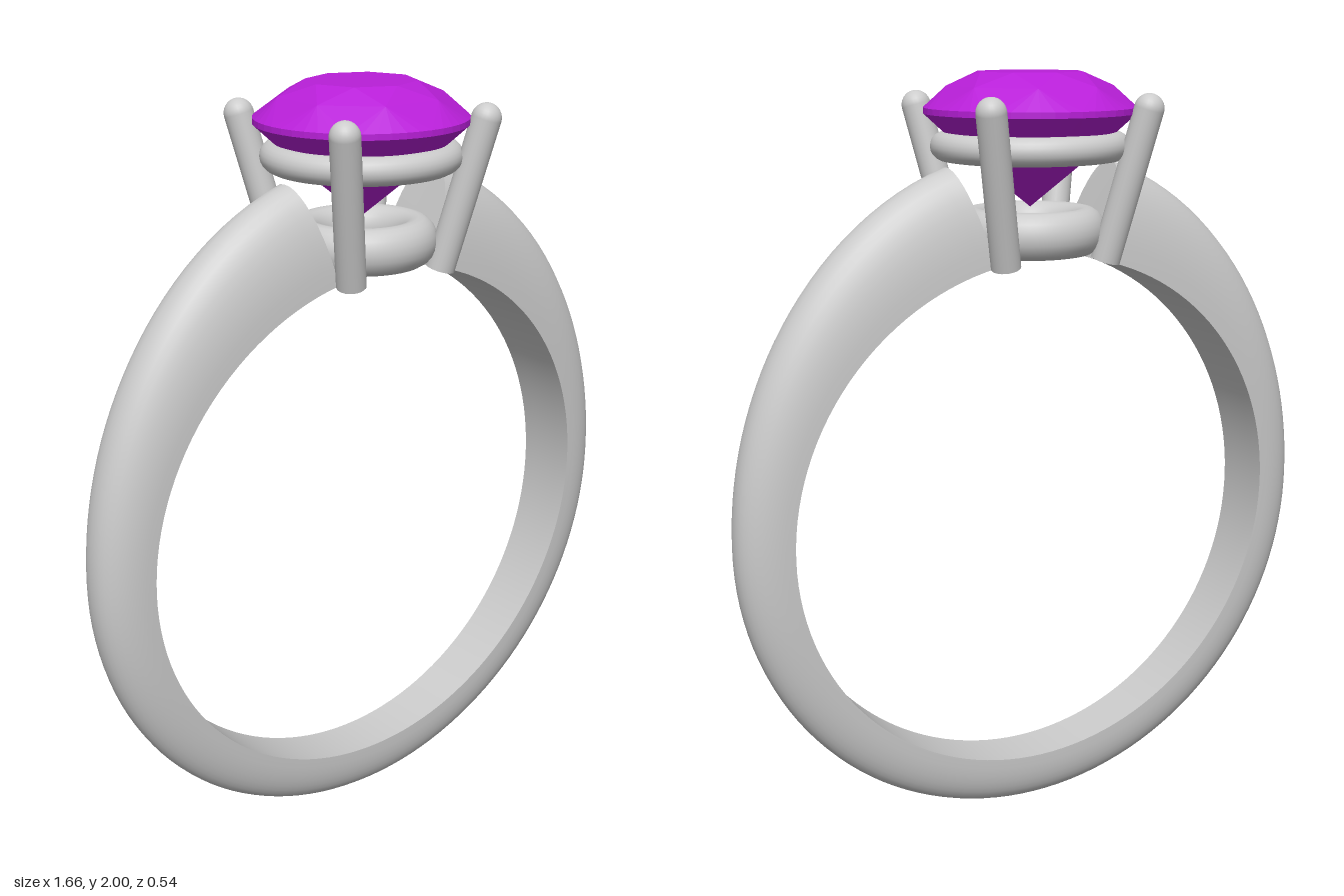
import * as THREE from 'three';
import { toCreasedNormals } from 'three/addons/utils/BufferGeometryUtils.js';
import { ConvexGeometry } from 'three/addons/geometries/ConvexGeometry.js';

const CENTER_Y = 0.84, INNER_R = 0.7;
const metal = new THREE.MeshStandardMaterial({ color: 0xcccccc });
const violet = new THREE.MeshStandardMaterial({ color: 0xb81fd8 });

function addMesh(parent, name, geometry, material = metal) {
  const mesh = new THREE.Mesh(geometry, material);
  mesh.name = name;
  parent.add(mesh);
  return mesh;
}

// Outer outline: round below, a taller ellipse above (a = angle from the top)
function outerRadius(a) {
  const b = Math.cos(a) > 0 ? 0.97 : 0.84;
  return 1 / Math.hypot(Math.sin(a) / 0.832, Math.cos(a) / b);
}

// D-shaped section: [width fraction, height fraction], domed outside, flat inside
function bandSection() {
  const pts = [];
  const dome = 20, flat = 4;
  for (let i = 0; i <= dome; i++) {
    const t = (i / dome) * Math.PI, c = Math.cos(t);
    pts.push([Math.sign(c) * Math.abs(c) ** 0.88, Math.max(0, Math.sin(t)) ** 0.88]);
  }
  for (let i = 1; i < flat; i++) pts.push([-1 + (2 * i) / flat, 0]);
  return pts;
}

// Open band swept round the finger, its ends slanted to meet the setting
function bandGeometry() {
  const section = bandSection(), n = section.length, steps = 120;
  const pos = [], index = [];
  const put = (u, [w, h]) => {
    const a = Math.PI + u * (Math.PI - (0.215 + 0.035 * h));
    const r = INNER_R + (outerRadius(a) - INNER_R) * h;
    const halfWidth = 0.087 + 0.018 * Math.cos(a);
    pos.push(r * Math.sin(a), CENTER_Y + r * Math.cos(a), w * halfWidth);
  };
  for (let i = 0; i <= steps; i++) section.forEach(p => put(-1 + (2 * i) / steps, p));
  put(-1, [0, 0.4]);
  put(1, [0, 0.4]);
  const capA = (steps + 1) * n, capB = capA + 1, last = steps * n;
  for (let j = 0; j < n; j++) {
    const k = (j + 1) % n;
    for (let i = 0; i < steps; i++) {
      const a = i * n, b = a + n;
      index.push(a + j, b + j, a + k, b + j, b + k, a + k);
    }
    index.push(capA, j, k, capB, last + k, last + j);
  }
  const geo = new THREE.BufferGeometry();
  geo.setAttribute('position', new THREE.Float32BufferAttribute(pos, 3));
  geo.setIndex(index);
  return toCreasedNormals(geo, 0.7);
}

// Round brilliant cut: rings of corners wrapped in a convex hull
function gemGeometry() {
  const pts = [new THREE.Vector3(0, 1.66, 0)];
  const ring = (count, r, y, turn = 0) => {
    for (let i = 0; i < count; i++) {
      const a = ((i + turn) / count) * Math.PI * 2;
      pts.push(new THREE.Vector3(r * Math.cos(a), y, r * Math.sin(a)));
    }
  };
  ring(8, 0.14, 2.0);            // table
  ring(8, 0.213, 1.965, 0.5);    // crown
  ring(48, 0.272, 1.912);        // girdle, upper edge
  ring(48, 0.272, 1.897);        // girdle, lower edge
  ring(8, 0.12, 1.757, 0.5);     // pavilion
  return new ConvexGeometry(pts);
}

export function createModel() {
  const model = new THREE.Group();
  model.name = 'ring';

  addMesh(model, 'band', bandGeometry());

  const setting = new THREE.Group();
  setting.name = 'setting';
  model.add(setting);

  // Two horizontal rings of the basket
  const rail = (name, r, tube, y, stretch) => {
    const geo = new THREE.TorusGeometry(r, tube, 20, 64).rotateX(Math.PI / 2);
    geo.scale(1, stretch, 1);
    addMesh(setting, name, geo).position.y = y;
  };
  rail('lowerRail', 0.145, 0.05, 1.6, 1.2);
  rail('upperRail', 0.22, 0.036, 1.815, 1);

  // Four flared prongs with rounded tips
  const up = new THREE.Vector3(0, 1, 0);
  for (const sx of [1, -1]) for (const sz of [1, -1]) {
    const foot = new THREE.Vector3(sx * 0.143, 1.53, sz * 0.143);
    const tip = new THREE.Vector3(sx * 0.219, 1.912, sz * 0.219);
    const axis = tip.clone().sub(foot);
    const length = axis.length();
    const prong = new THREE.Group();
    prong.name = 'prong';
    prong.position.copy(foot);
    prong.quaternion.setFromUnitVectors(up, axis.normalize());
    addMesh(prong, 'prongShaft', new THREE.CylinderGeometry(0.038, 0.038, length, 24).translate(0, length / 2, 0));
    addMesh(prong, 'prongTip', new THREE.SphereGeometry(0.038, 24, 8, 0, Math.PI * 2, 0, Math.PI / 2).translate(0, length, 0));
    setting.add(prong);
  }

  addMesh(model, 'gemstone', gemGeometry(), violet);
  return model;
}
